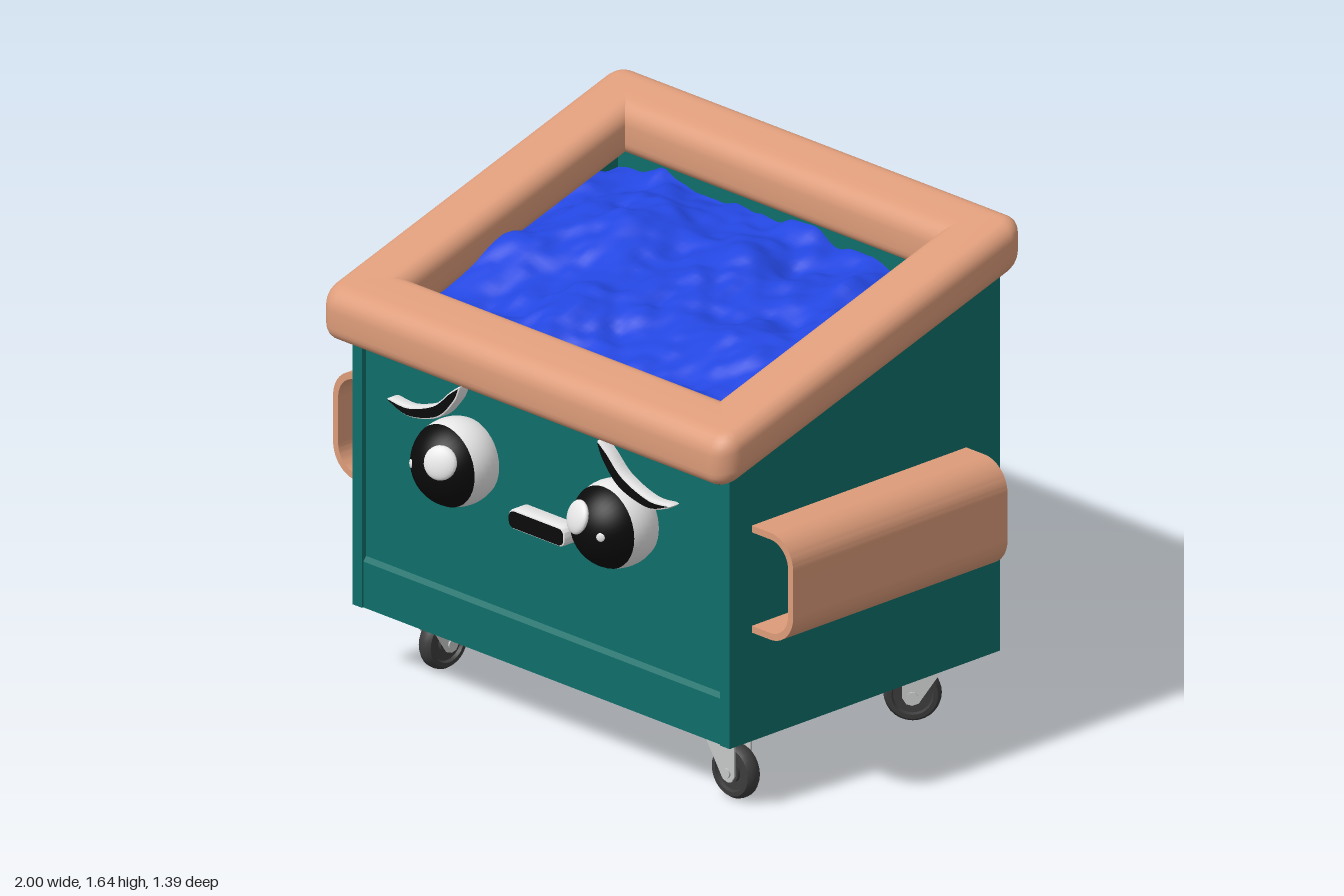
import * as THREE from 'three';
import { toCreasedNormals } from 'three/addons/utils/BufferGeometryUtils.js';

const mat = (name, color, side = THREE.FrontSide) => {
  const m = new THREE.MeshStandardMaterial({ color, side });
  m.name = name;
  return m;
};

const SLOPE = 0.31;              // rise of the rim per unit towards the back
const rimY = (z) => 1.352 - SLOPE * z;
const FACE_X = 0.022;            // centre line of the face

export function createModel() {
  const root = new THREE.Group();
  const teal = mat('teal paint', 0x0f6f6a);
  const tan = mat('tan rim', 0xdd9c7a);
  const blue = mat('blue filling', 0x2346e0, THREE.DoubleSide);
  const white = mat('white', 0xeeeeee);
  const black = mat('black', 0x0a0a0a);
  const rubber = mat('dark rubber', 0x3c3c3c);
  const metal = mat('pale metal', 0xc6c8c8);

  const add = (parent, name, geo, material, x = 0, y = 0, z = 0) => {
    const m = new THREE.Mesh(geo, material);
    m.name = name;
    m.position.set(x, y, z);
    parent.add(m);
    return m;
  };
  const polygon = (pts) => new THREE.Shape(pts.map(([a, b]) => new THREE.Vector2(a, b)));
  const roundRect = (x0, y0, x1, y1, r, Type = THREE.Shape) => {
    const s = new Type();
    s.absarc(x1 - r, y0 + r, r, -Math.PI / 2, 0);
    s.absarc(x1 - r, y1 - r, r, 0, Math.PI / 2);
    s.absarc(x0 + r, y1 - r, r, Math.PI / 2, Math.PI);
    s.absarc(x0 + r, y0 + r, r, Math.PI, Math.PI * 1.5);
    s.closePath();
    return s;
  };
  // Extrudes a (z, y) profile across x, centred on x = 0
  const extrudeAcross = (pts, width) => {
    const g = new THREE.ExtrudeGeometry(polygon(pts), { depth: width, bevelEnabled: false });
    return g.rotateY(-Math.PI / 2).translate(width / 2, 0, 0);
  };

  // Body: side walls, ribbed front and back walls, floor
  const body = new THREE.Group();
  body.name = 'body';
  root.add(body);
  const side = extrudeAcross([[0.494, 0.22], [0.494, rimY(0.494)], [-0.652, rimY(-0.652)], [-0.652, 0.22]], 0.042);
  for (const s of [1, -1]) add(body, 'sideWall', side, teal, s * 0.799);
  add(body, 'frontWall', extrudeAcross([
    [0.44, 0.22], [0.488, 0.22], [0.488, 0.37], [0.476, 0.385], [0.476, 1.06],
    [0.487, 1.075], [0.487, 1.2], [0.44, 1.2]], 1.57), teal);
  add(body, 'backWall', extrudeAcross([
    [-0.59, 0.22], [-0.59, 1.54], [-0.63, 1.54], [-0.63, 1.07], [-0.646, 1.04], [-0.646, 0.94],
    [-0.63, 0.91], [-0.63, 0.56], [-0.646, 0.53], [-0.646, 0.45], [-0.63, 0.42], [-0.63, 0.22]], 1.57), teal);
  add(body, 'floor', new THREE.BoxGeometry(1.57, 0.04, 1.1), teal, 0, 0.241, -0.075);

  // Padded rim, sheared to follow the sloping top
  const b = 0.055;
  const rimShape = roundRect(-0.887 + b, -0.58 + b, 0.887 - b, 0.702 - b, 0.015);
  rimShape.holes.push(roundRect(-0.672 - b, -0.387 - b, 0.672 + b, 0.517 + b, 0.004, THREE.Path));
  let rim = new THREE.ExtrudeGeometry(rimShape, {
    depth: 0.058, bevelSize: b, bevelThickness: b, bevelSegments: 6, curveSegments: 5 });
  rim.rotateX(-Math.PI / 2).translate(0, -0.029, 0);
  const rp = rim.attributes.position;
  for (let i = 0; i < rp.count; i++) rp.setY(i, rp.getY(i) + rimY(rp.getZ(i)));
  add(root, 'rim', toCreasedNormals(rim, 0.6), tan);

  // Lumpy filling from smooth value noise plus two mounds
  const hash = (i, j) => {
    const v = Math.sin(i * 127.1 + j * 311.7) * 43758.5453;
    return v - Math.floor(v);
  };
  const noise = (x, y) => {
    const i = Math.floor(x), j = Math.floor(y);
    const u = THREE.MathUtils.smoothstep(x - i, 0, 1), v = THREE.MathUtils.smoothstep(y - j, 0, 1);
    const l = THREE.MathUtils.lerp;
    return l(l(hash(i, j), hash(i + 1, j), u), l(hash(i, j + 1), hash(i + 1, j + 1), u), v) - 0.5;
  };
  const mound = (x, z, cx, cz, r) => Math.exp(-((x - cx) ** 2 + (z - cz) ** 2) / (r * r));
  const fill = new THREE.PlaneGeometry(1.56, 1.04, 90, 64).rotateX(-Math.PI / 2).translate(0, 0, -0.08);
  const fp = fill.attributes.position;
  for (let i = 0; i < fp.count; i++) {
    const x = fp.getX(i), z = fp.getZ(i);
    fp.setY(i, 1.285 - 0.12 * z + 0.1 * mound(x, z, -0.4, -0.2, 0.22) + 0.05 * mound(x, z, 0.12, -0.3, 0.22)
      - 0.03 * THREE.MathUtils.smoothstep(z, 0.1, 0.4)
      + 0.08 * noise(x * 5 + 9, z * 5 + 4) + 0.04 * noise(x * 12, z * 12) + 0.015 * noise(x * 26, z * 26));
  }
  fill.computeVertexNormals();
  add(root, 'filling', fill, blue);

  // Side handles: open C-shaped channels running front to back
  const channel = new THREE.Shape();
  channel.moveTo(0.815, 0.575);
  channel.lineTo(0.9, 0.575);
  channel.absarc(0.9, 0.675, 0.1, -Math.PI / 2, 0);
  channel.absarc(0.9, 0.825, 0.1, 0, Math.PI / 2);
  channel.lineTo(0.815, 0.925);
  channel.lineTo(0.815, 0.903);
  channel.absarc(0.9, 0.825, 0.078, Math.PI / 2, 0, true);
  channel.absarc(0.9, 0.675, 0.078, 0, -Math.PI / 2, true);
  channel.lineTo(0.815, 0.597);
  const handle = toCreasedNormals(
    new THREE.ExtrudeGeometry(channel, { depth: 0.908, bevelEnabled: false, curveSegments: 10 }), 0.6);
  add(root, 'leftHandle', handle, tan, 0, 0, -0.508);
  add(root, 'rightHandle', handle, tan, 0, 0, 0.4).rotation.y = Math.PI;

  // Face pieces: white backing with a thin black front
  const face = new THREE.Group();
  face.name = 'face';
  face.position.x = FACE_X;
  root.add(face);
  const inlay = (name, shape, z0, z1) => {
    const e = 0.006;
    add(face, name + 'Backing', toCreasedNormals(new THREE.ExtrudeGeometry(shape, {
      depth: z1 - z0 - 2 * e, bevelSize: e, bevelThickness: e, bevelSegments: 2 }), 0.6), white, 0, 0, z0 + e);
    add(face, name, new THREE.ExtrudeGeometry(shape, { depth: 0.005, bevelEnabled: false }), black, 0, 0, z1 - 0.002);
  };
  inlay('mouth', roundRect(-0.117, 0.697, 0.117, 0.75, 0.02), 0.47, 0.535);

  for (const s of [1, -1]) {
    const brow = new THREE.Shape();
    brow.moveTo(s * 0.607, 0.978);
    brow.splineThru([[0.52, 0.953], [0.4, 0.983], [0.33, 1.05], [0.304, 1.1]].map(([x, y]) => new THREE.Vector2(s * x, y)));
    brow.splineThru([[0.34, 1.073], [0.41, 1.013], [0.52, 0.974], [0.607, 0.978]].map(([x, y]) => new THREE.Vector2(s * x, y)));
    inlay('brow', brow, 0.525, 0.57);

    // Eye: white ball, black front cap, two glints
    const eye = new THREE.Group();
    eye.name = s > 0 ? 'leftEye' : 'rightEye';
    eye.position.set(s * 0.347, 0.842, 0.535);
    face.add(eye);
    add(eye, 'eyeball', new THREE.SphereGeometry(0.139, 36, 24), white);
    add(eye, 'pupil', new THREE.SphereGeometry(0.141, 36, 18, 0, Math.PI * 2, 0, 1.2).rotateX(Math.PI / 2), black);
    const glint = (x, y, r) => {
      const dir = new THREE.Vector3(x, y, Math.sqrt(0.141 ** 2 - x * x - y * y));
      const g = add(eye, 'glint', new THREE.SphereGeometry(r, 24, 12), white);
      g.position.copy(dir);
      g.quaternion.setFromUnitVectors(new THREE.Vector3(0, 0, 1), dir.clone().normalize());
      g.scale.z = 0.35;
    };
    glint(s > 0 ? -0.035 : 0.055, 0.045, 0.054);
    glint(s > 0 ? 0.062 : -0.075, 0.005, 0.014);
  }

  // Casters: mounting plate, fork and wheel, each swivelled its own way
  const wheelProfile = [[0.03, -0.014], [0.06, -0.016], [0.064, -0.027], [0.078, -0.026], [0.087, -0.014],
    [0.089, 0], [0.087, 0.014], [0.078, 0.026], [0.064, 0.027], [0.06, 0.016], [0.03, 0.014]]
    .map(([r, y]) => new THREE.Vector2(r, y));
  const wheel = toCreasedNormals(new THREE.LatheGeometry(wheelProfile, 28).rotateX(Math.PI / 2), 0.7);
  const hub = new THREE.CylinderGeometry(0.034, 0.034, 0.05, 18).rotateX(Math.PI / 2);
  const bolt = new THREE.CylinderGeometry(0.016, 0.016, 0.088, 12).rotateX(Math.PI / 2);
  const forkShape = polygon([[-0.07, 0.212], [0.075, 0.212], [0.077, 0.085], [0.064, 0.064], [0.046, 0.059], [0.026, 0.066]]);
  const fork = new THREE.ExtrudeGeometry(forkShape, { depth: 0.006, bevelEnabled: false });
  const caster = (name, x, z, yaw) => {
    const c = new THREE.Group();
    c.name = name;
    c.position.set(x, 0, z);
    c.rotation.y = yaw;
    root.add(c);
    add(c, 'mountingPlate', new THREE.BoxGeometry(0.2, 0.012, 0.11), metal, 0, 0.215, 0);
    for (const s of [1, -1]) add(c, 'fork', fork, metal, 0, 0, s * 0.035 - 0.003);
    add(c, 'wheel', wheel, rubber, 0.045, 0.089, 0);
    add(c, 'hub', hub, rubber, 0.045, 0.089, 0);
    add(c, 'axleBolt', bolt, metal, 0.045, 0.089, 0);
  };
  caster('frontLeftCaster', 0.675, 0.37, 0);
  caster('frontRightCaster', -0.65, 0.32, Math.PI / 2);
  caster('backLeftCaster', 0.675, -0.485, -Math.PI * 0.75);
  caster('backRightCaster', -0.68, -0.485, -Math.PI / 4);

  return root;
}
